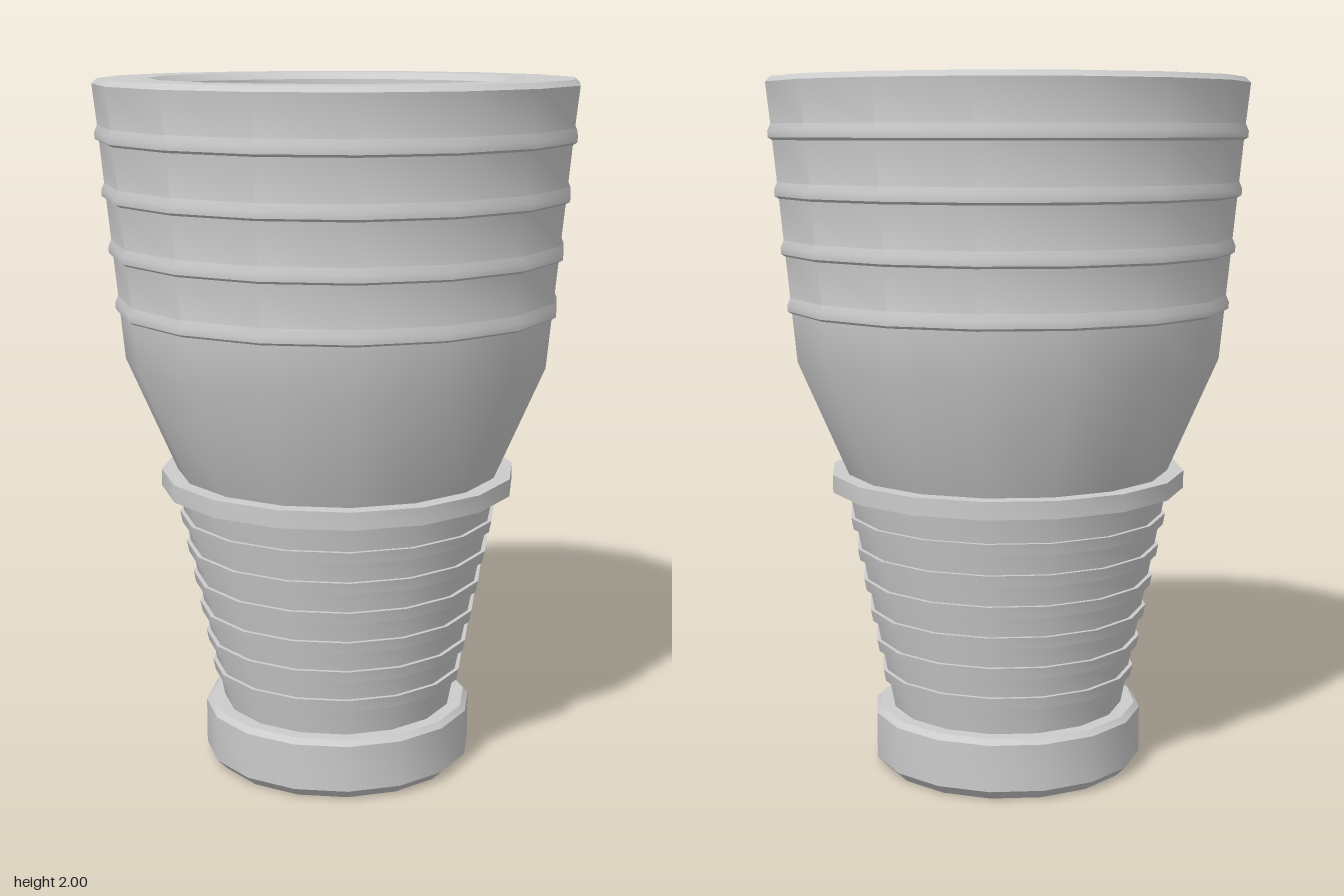
import * as THREE from 'three';
import { toCreasedNormals } from 'three/addons/utils/BufferGeometryUtils.js';

const SIDES = 16;
const material = new THREE.MeshStandardMaterial({ color: 0xcccccc });

// Turn a [radius, height] profile around y; the sides shade round, sharp profile edges stay crisp.
function turned(name, profile) {
  const points = profile.map(([r, y]) => new THREE.Vector2(r, y));
  const mesh = new THREE.Mesh(toCreasedNormals(new THREE.LatheGeometry(points, SIDES), 0.6), material);
  mesh.name = name;
  return mesh;
}

export function createModel() {
  const group = new THREE.Group();
  group.name = 'ribbedCup';

  // Chamfered foot with a flat underside
  group.add(turned('foot', [
    [0, 0], [0.365, 0], [0.395, 0.03], [0.395, 0.165], [0.38, 0.18], [0.33, 0.18],
  ]));

  // Tapered stem with six stepped ribs
  const stemRadius = (y) => 0.34 + (y - 0.18) * 0.195;
  const stem = [[stemRadius(0.17), 0.17]];
  for (let i = 0; i < 6; i++) {
    const low = 0.26 + i * 0.092, high = low + 0.034;
    stem.push(
      [stemRadius(low), low], [stemRadius(low) + 0.012, low],
      [stemRadius(high) + 0.012, high], [stemRadius(high), high],
    );
  }
  stem.push([stemRadius(0.84), 0.84]);
  group.add(turned('ribbedStem', stem));

  // Flat collar between stem and cup
  group.add(turned('collar', [[0.44, 0.832], [0.515, 0.832], [0.515, 0.882], [0.44, 0.882]]));

  // Flared cup wall with four bevelled bands
  const cupRadius = (y) => 0.61 + (y - 1.21) * 0.095;
  const cup = [[0.465, 0.875], [0.61, 1.21]];
  for (let i = 0; i < 4; i++) {
    const y = 1.347 + i * 0.16;
    cup.push(
      [cupRadius(y), y], [cupRadius(y) + 0.012, y + 0.007],
      [cupRadius(y) + 0.013, y + 0.025], [cupRadius(y + 0.045), y + 0.045],
    );
  }
  // Chamfered rim, then the inside wall down to a rounded floor
  cup.push(
    [0.685, 1.985], [0.67, 2], [0.53, 2], [0.51, 1.98],
    [0.475, 1.35], [0.45, 1.2], [0.405, 1.06], [0.34, 0.97], [0.22, 0.91], [0, 0.89],
  );
  group.add(turned('cup', cup));

  return group;
}
